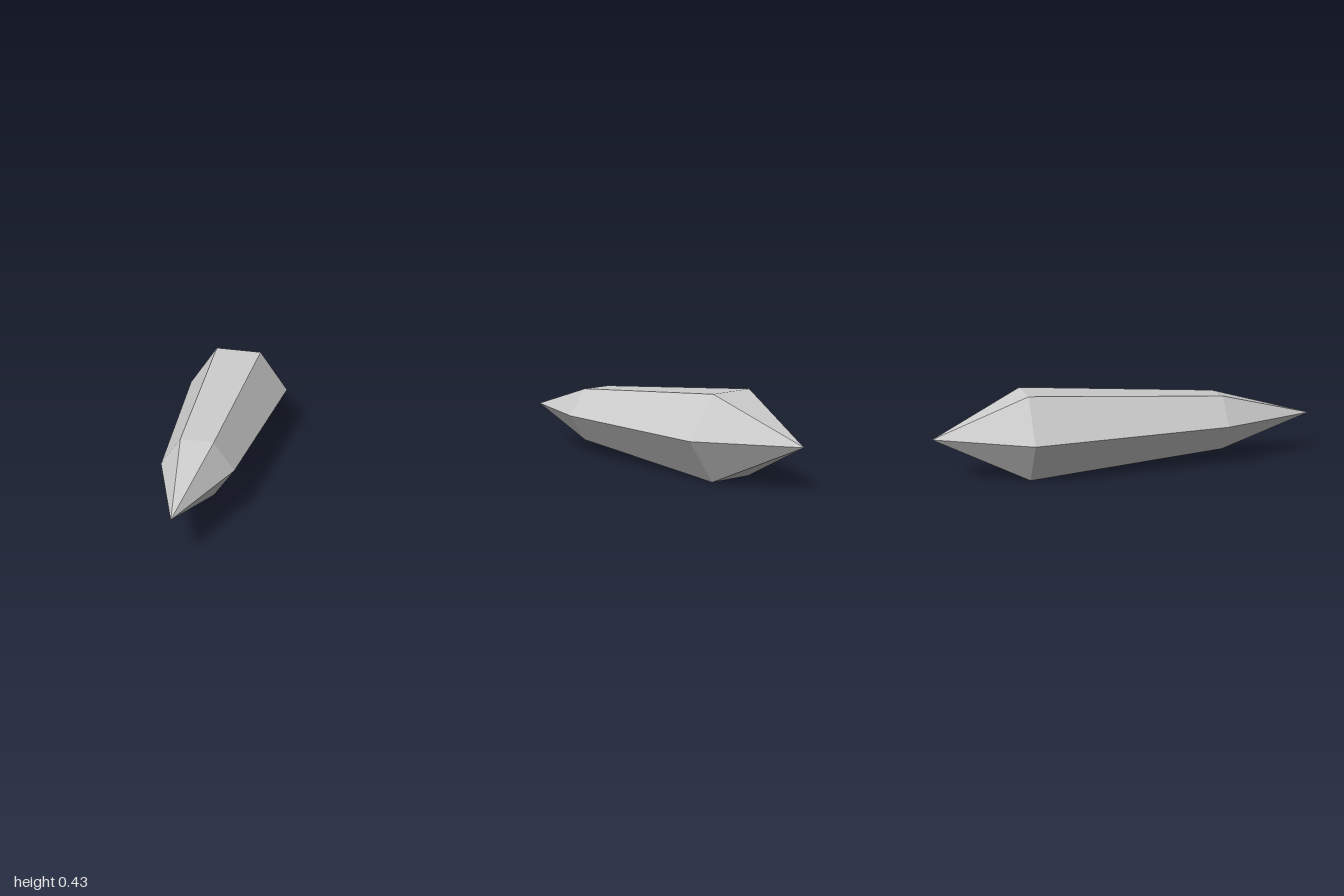
import * as THREE from 'three';

// Six-sided outline around the long axis, counter-clockwise seen from the front
const OUTLINE = [
  [0.27, 0], [0.12, 0.208], [-0.123, 0.214],
  [-0.27, 0], [-0.122, -0.212], [0.122, -0.212],
];
const AXIS_HEIGHT = 0.212;

// Cross-sections from back tip to front tip: position along z and outline scale
const SECTIONS = [
  { z: -1, scale: 0 },
  { z: -0.54, scale: 1 },
  { z: 0.48, scale: 0.66 },
  { z: 1, scale: 0 },
];

function loftGeometry(sections) {
  const positions = [];
  const corner = (s, i) => {
    const [x, y] = OUTLINE[i % OUTLINE.length];
    return [x * s.scale, AXIS_HEIGHT + y * s.scale, s.z];
  };
  for (let k = 0; k < sections.length - 1; k++) {
    const back = sections[k], front = sections[k + 1];
    for (let i = 0; i < OUTLINE.length; i++) {
      const a = corner(back, i), b = corner(back, i + 1);
      const c = corner(front, i + 1), d = corner(front, i);
      // A section of zero scale is a tip, so its half of the quad is skipped
      if (back.scale > 0) positions.push(...a, ...b, ...c);
      if (front.scale > 0) positions.push(...a, ...c, ...d);
    }
  }
  const geometry = new THREE.BufferGeometry();
  geometry.setAttribute('position', new THREE.Float32BufferAttribute(positions, 3));
  geometry.computeVertexNormals();
  return geometry;
}

export function createModel() {
  const group = new THREE.Group();
  group.name = 'crystalShard';

  const stone = new THREE.MeshStandardMaterial({ color: 0xcccccc });
  stone.name = 'light grey';
  stone.flatShading = true;

  // Faceted shard, pointed at both ends
  const shard = new THREE.Mesh(loftGeometry(SECTIONS), stone);
  shard.name = 'shard';
  group.add(shard);
  return group;
}
